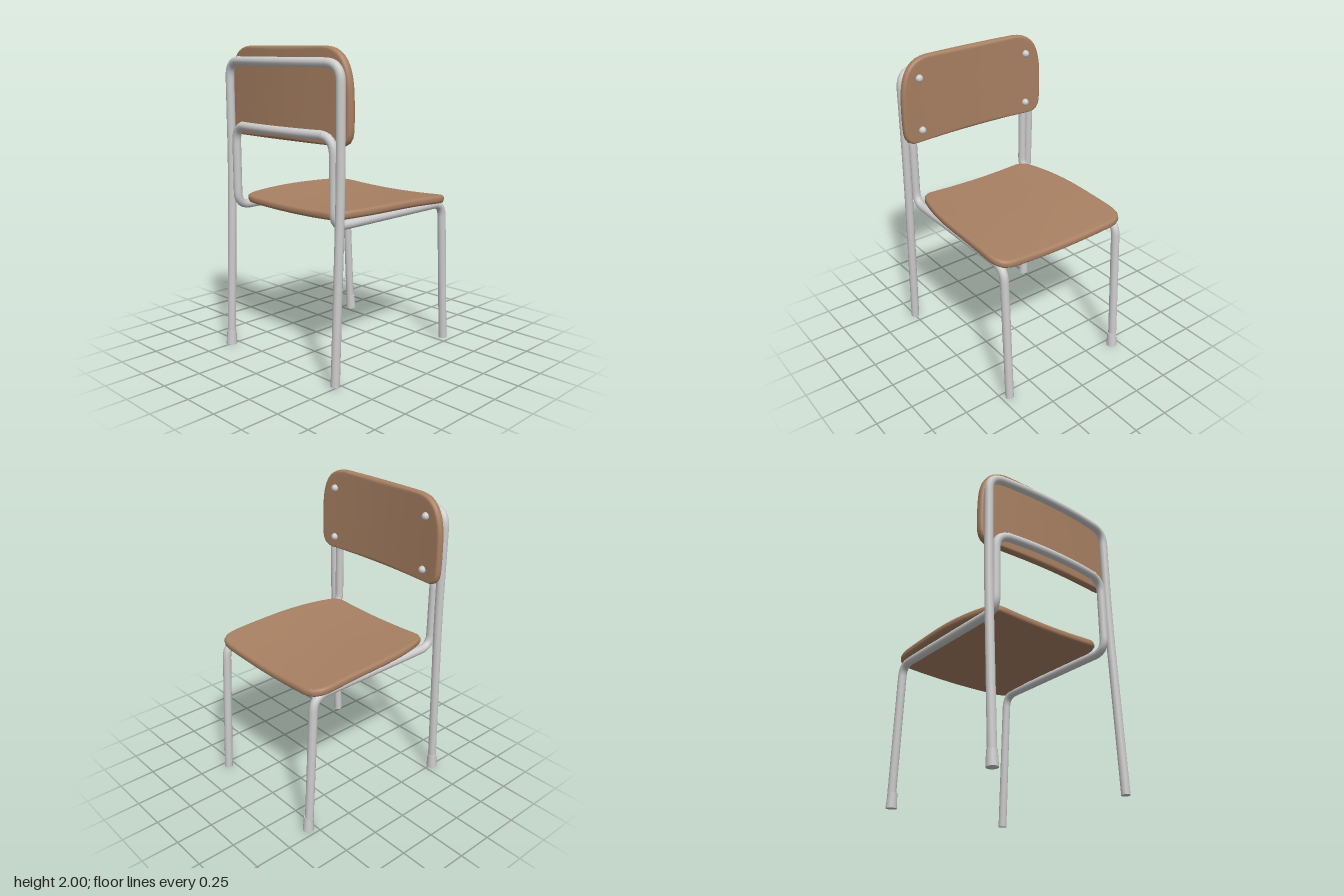
import * as THREE from 'three';

const TUBE_R = 0.028;
const steel = new THREE.MeshStandardMaterial({ color: 0xcccccc });
const wood = new THREE.MeshStandardMaterial({ color: 0xa88062 });

function addMesh(parent, name, geometry, material) {
  const mesh = new THREE.Mesh(geometry, material);
  mesh.name = name;
  parent.add(mesh);
  return mesh;
}

// Path through [x, y, z, bendRadius] waypoints with rounded bends
function bentPath(points) {
  const path = new THREE.CurvePath();
  const v = points.map(p => new THREE.Vector3(p[0], p[1], p[2]));
  let from = v[0];
  for (let i = 1; i < v.length - 1; i++) {
    const r = points[i][3];
    const a = v[i].clone().add(v[i - 1].clone().sub(v[i]).setLength(r));
    const b = v[i].clone().add(v[i + 1].clone().sub(v[i]).setLength(r));
    path.add(new THREE.LineCurve3(from, a));
    path.add(new THREE.QuadraticBezierCurve3(a, v[i], b));
    from = b;
  }
  path.add(new THREE.LineCurve3(from, v[v.length - 1]));
  return path;
}

// Symmetrical frame: half a path on +x, mirrored to -x, with closed feet
function addFrame(parent, name, half) {
  const mirrored = half.slice().reverse().map(([x, ...rest]) => [-x, ...rest]);
  const path = bentPath([...half, ...mirrored]);
  addMesh(parent, name, new THREE.TubeGeometry(path, 260, TUBE_R, 14), steel);
  for (const s of [1, -1]) {
    const disc = addMesh(parent, name + 'TubeEnd', new THREE.CircleGeometry(TUBE_R, 14), steel);
    disc.position.set(s * half[0][0], half[0][1], half[0][2]);
    disc.lookAt(new THREE.Vector3(s * half[0][0], half[0][1] * 2 - half[1][1], half[0][2] * 2 - half[1][2]));
  }
}

// Closed outline from its right half, which runs bottom centre to top centre
function mirrorOutline(drawHalf) {
  const s = new THREE.Shape();
  drawHalf(s);
  const right = s.getSpacedPoints(44);
  const left = right.slice(1, -1).reverse().map(p => new THREE.Vector2(-p.x, p.y));
  return [...right, ...left];
}

// Curved panel with a rounded rim: rings of the outline, placed by a mapping rule
function panelGeometry(outline, thickness, place) {
  const t = thickness / 2, r = t * 0.8;
  const rings = [[0, 0, t], [0.25, 0, t], [0.5, 0, t], [0.75, 0, t], [0.9, 0, t]];
  for (let k = 0; k <= 4; k++) {
    const a = k / 4 * Math.PI / 2;
    rings.push([1, r * (1 - Math.sin(a)), t - r + r * Math.cos(a)]);
  }
  rings.push(...rings.slice().reverse().map(([s, inset, h]) => [s, inset, -h]));
  const n = outline.length, pos = [], idx = [];
  rings.forEach(([s, inset, h], i) => {
    outline.forEach((p, j) => {
      const k = s - inset / p.length();
      pos.push(...place(p.x * k, p.y * k, h));
      if (i === rings.length - 1) return;
      const a = i * n + j, b = i * n + (j + 1) % n;
      if (i > 0) idx.push(a, b + n, b);
      if (i < rings.length - 2) idx.push(a, a + n, b + n);
    });
  });
  const g = new THREE.BufferGeometry();
  g.setAttribute('position', new THREE.Float32BufferAttribute(pos, 3));
  g.setIndex(idx);
  g.computeVertexNormals();
  // One shared normal at each panel centre
  const normal = g.attributes.normal;
  const top = new THREE.Vector3(...place(0, 0, 1)).sub(new THREE.Vector3(...place(0, 0, 0)));
  for (let j = 0; j < n; j++) {
    normal.setXYZ(j, top.x, top.y, top.z);
    normal.setXYZ((rings.length - 1) * n + j, -top.x, -top.y, -top.z);
  }
  return g;
}

export function createModel() {
  const chair = new THREE.Group();
  chair.name = 'chair';

  // Outer frame: rear legs, uprights and bowed top rail
  addFrame(chair, 'outerFrame', [
    [0.505, 0.015, 0.556],
    [0.505, 1.2, 0.51, 0.25],
    [0.505, 1.907, 0.508, 0.11],
    [0.2, 1.907, 0.546, 0.18],
  ]);

  // Inner frame: front legs, seat rails, inner uprights and bowed lower rail
  addFrame(chair, 'innerFrame', [
    [0.45, 0.005, -0.552],
    [0.45, 0.968, -0.5, 0.09],
    [0.45, 0.968, 0.51, 0.09],
    [0.45, 1.497, 0.51, 0.11],
    [0.2, 1.497, 0.546, 0.18],
  ]);

  // Foot caps, fitted to the right-hand legs
  for (const [name, x, z, tilt] of [['rearFootCap', -0.505, 0.554, -0.039], ['frontFootCap', -0.445, -0.55, 0.054]]) {
    const cap = addMesh(chair, name, new THREE.CylinderGeometry(0.031, 0.036, 0.098, 20), steel);
    cap.position.set(x, 0.05, z);
    cap.rotation.x = tilt;
  }

  // Seat: dished across its width, falling away at the front edge
  const seatOutline = mirrorOutline(s => {
    s.moveTo(0, -0.475);
    s.lineTo(0.36, -0.475);
    s.quadraticCurveTo(0.425, -0.475, 0.445, -0.4);
    s.bezierCurveTo(0.485, -0.27, 0.503, -0.12, 0.503, 0.05);
    s.lineTo(0.502, 0.38);
    s.bezierCurveTo(0.5, 0.49, 0.47, 0.53, 0.38, 0.532);
    s.lineTo(0, 0.535);
  });
  addMesh(chair, 'seat', panelGeometry(seatOutline, 0.052, (x, v, h) => {
    const front = Math.max(0, (v + 0.1) / 0.635);
    return [x, 1.005 + 0.08 * x * x - 0.027 * front * front + h, -v];
  }), wood);

  // Backrest: bowed backwards at its middle
  const backOutline = mirrorOutline(s => {
    s.moveTo(0, -0.285);
    s.lineTo(0.46, -0.285);
    s.quadraticCurveTo(0.53, -0.285, 0.54, -0.21);
    s.quadraticCurveTo(0.548, -0.08, 0.538, 0.06);
    s.bezierCurveTo(0.52, 0.21, 0.46, 0.275, 0.34, 0.28);
    s.lineTo(0, 0.28);
  });
  const backZ = x => 0.476 - 0.09 * x * x;
  addMesh(chair, 'backrest', panelGeometry(backOutline, 0.052, (x, y, h) => [x, 1.72 + y, backZ(x) + h]), wood);

  // Domed rivets on the sitting side of the backrest
  for (const x of [-0.415, 0.415]) {
    for (const y of [1.52, 1.868]) {
      const rivet = addMesh(chair, 'rivet', new THREE.SphereGeometry(0.025, 16, 12), steel);
      rivet.position.set(x, y, backZ(x) - 0.03);
    }
  }

  return chair;
}
